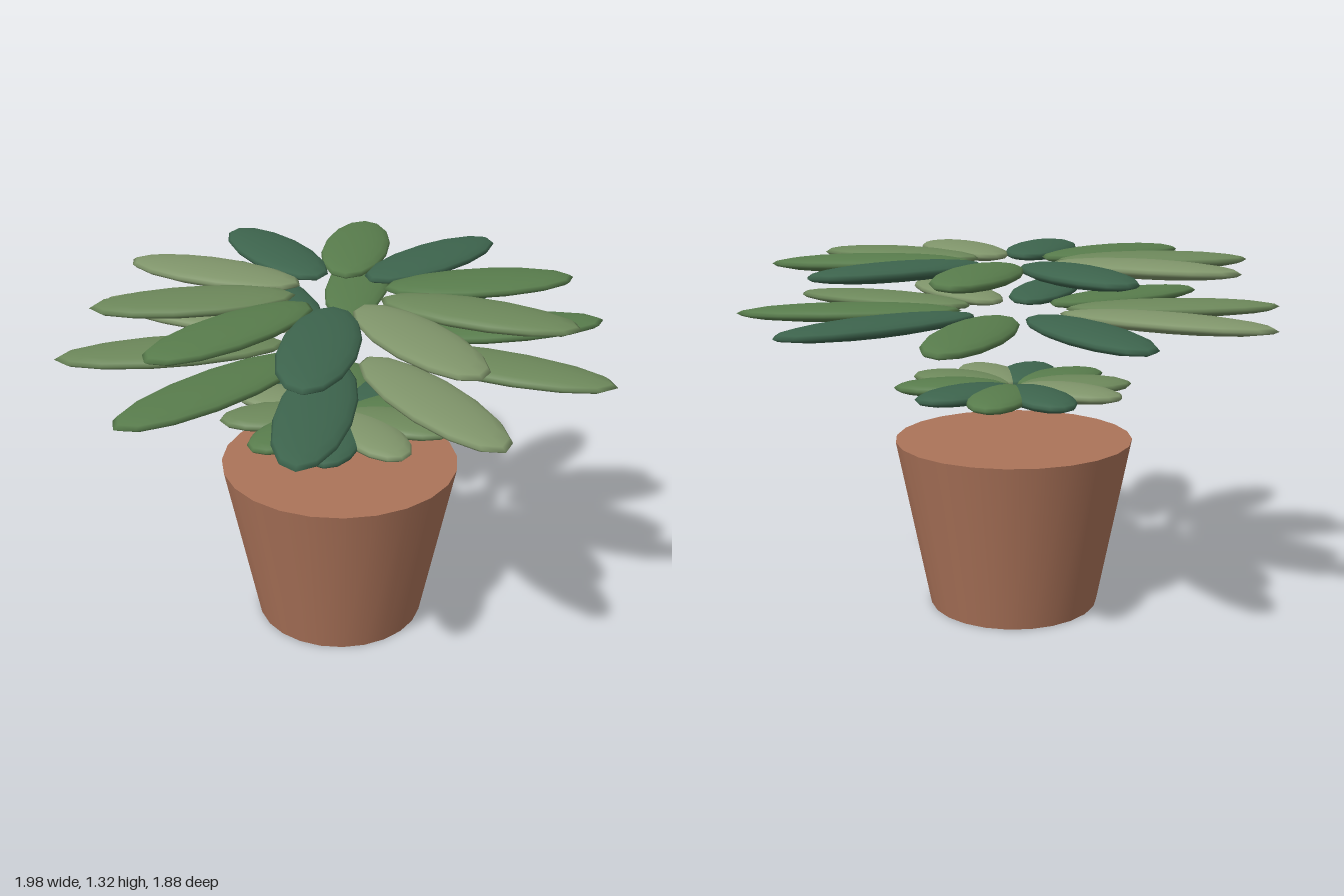
import * as THREE from 'three';

const LEAVES = 10;
const GREENS = [0x3d644d, 0x587c4c, 0x6c875a, 0x7f946a];

// Rings of flat oval leaves: height, centre radius, half length, half width
const RINGS = [
  { name: 'lowerLeaves', y: 0.83, radius: 0.23, length: 0.21, width: 0.108 },
  { name: 'middleLeaves', y: 1.112, radius: 0.59, length: 0.4, width: 0.125 },
  { name: 'upperLeaves', y: 1.287, radius: 0.505, length: 0.35, width: 0.128 },
];

export function createModel() {
  const plant = new THREE.Group();
  plant.name = 'pottedPlant';

  // Tapered clay pot, closed at top and bottom
  const potHeight = 0.635;
  const pot = new THREE.Mesh(
    new THREE.CylinderGeometry(0.44, 0.318, potHeight, 24),
    new THREE.MeshStandardMaterial({ color: 0xab7359 })
  );
  pot.name = 'pot';
  pot.position.y = potHeight / 2;
  plant.add(pot);

  // Leaves cycle through the four greens around each ring
  const leafGeometry = new THREE.SphereGeometry(1, 14, 10);
  const leafMaterials = GREENS.map((color) => new THREE.MeshStandardMaterial({ color }));

  for (const { name, y, radius, length, width } of RINGS) {
    const ring = new THREE.Group();
    ring.name = name;
    ring.position.y = y;
    for (let i = 0; i < LEAVES; i++) {
      const angle = (i / LEAVES) * Math.PI * 2;
      const leaf = new THREE.Mesh(leafGeometry, leafMaterials[i % GREENS.length]);
      leaf.name = 'leaf';
      leaf.scale.set(length, 0.032, width);
      leaf.position.set(Math.cos(angle) * radius, 0, Math.sin(angle) * radius);
      leaf.rotation.y = -angle;
      ring.add(leaf);
    }
    plant.add(ring);
  }
  return plant;
}
